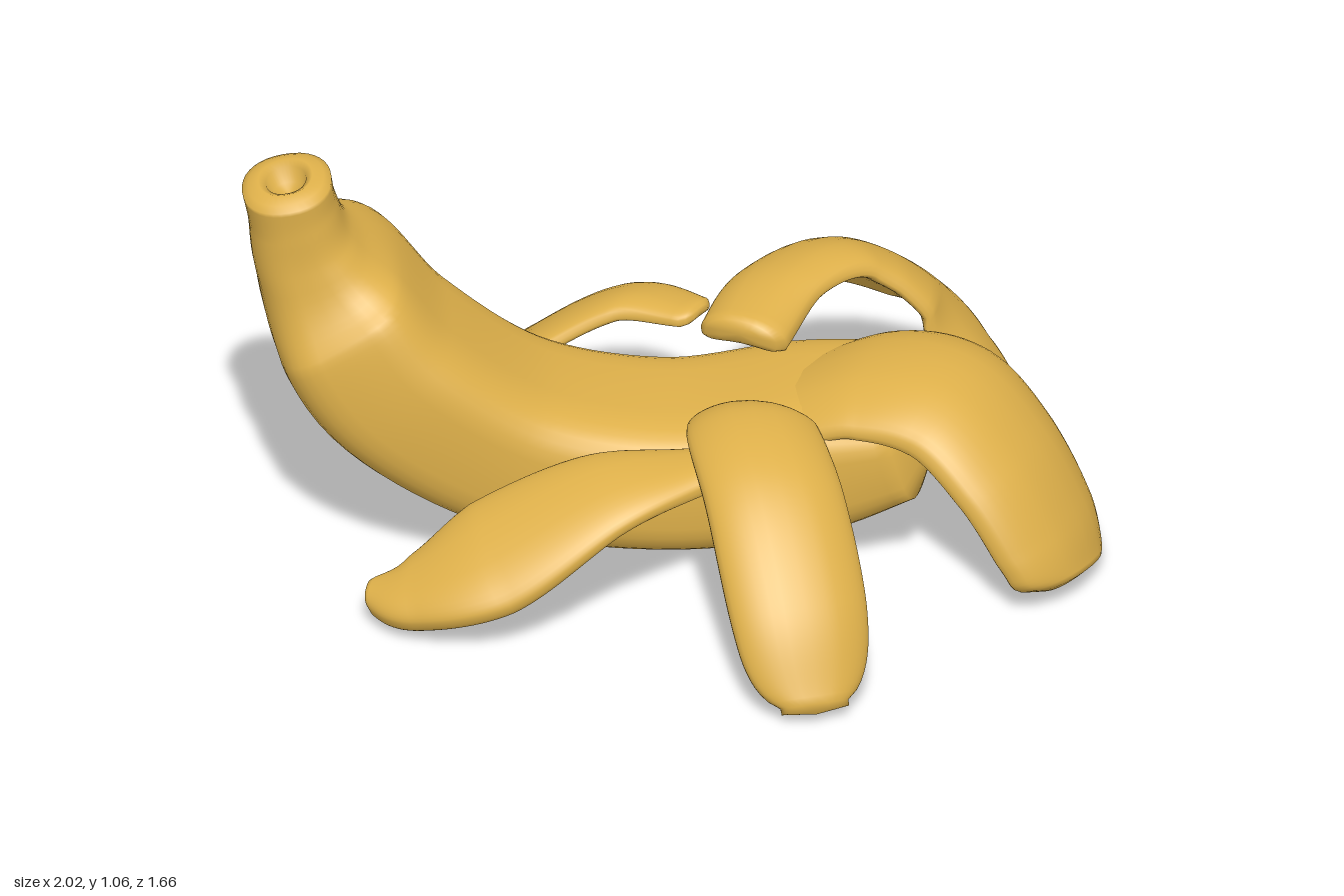
import * as THREE from 'three';

const peelYellow = new THREE.MeshStandardMaterial({ color: 0xdeb04a });
peelYellow.name = 'peelYellow';

const SIDES = 36;
const UP = new THREE.Vector3(0, 1, 0);

// Rounded-box outline: a superellipse point at angle a
const squircle = (a, n) => {
  const c = Math.cos(a), s = Math.sin(a);
  return [Math.sign(c) * Math.abs(c) ** (2 / n), Math.sign(s) * Math.abs(s) ** (2 / n)];
};

// Solid skin along a path. Each row is [x, y, z, halfWidth, halfThickness, squareness].
// startCap and endCap list [scale, offset along the path] rings that close the ends;
// tip is the share of the length over which the far end is rounded off.
function loft(name, rows, {
  steps = 48, bend = 0, roll = 0, side = null, tip = 0,
  startCap = [[0, -0.01], [0.5, -0.01], [0.85, 0]],
  endCap = [[0.6, 0], [0, 0.01]],
} = {}) {
  const path = new THREE.CatmullRomCurve3(rows.map(r => new THREE.Vector3(r[0], r[1], r[2])), false, 'catmullrom');
  const size = new THREE.CatmullRomCurve3(rows.map(r => new THREE.Vector3(r[3], r[4], r[5] ?? 3)), false, 'catmullrom');
  const rings = startCap.map(([s, o]) => [0, s, s, o]);
  for (let i = 0; i <= steps; i++) {
    const u = 0.015 + 0.97 * i / steps;
    const e = tip > 0 ? Math.max(0, (u - 1 + tip) / tip) : 0;
    rings.push([u, Math.cbrt(1 - e ** 3), 1, 0]);
  }
  endCap.forEach(([s, o]) => rings.push([1, s, s, o]));

  const positions = [], index = [];
  rings.forEach(([u, wide, thick, offset], i) => {
    const t = path.getTangent(u);
    const c = path.getPoint(u).addScaledVector(t, offset);
    const dim = size.getPoint(u);
    const across = side ? side.clone() : new THREE.Vector3(-t.z, 0, t.x).normalize();
    across.addScaledVector(UP, roll * Math.min(1, u * 2));
    across.addScaledVector(t, -across.dot(t)).normalize();
    const normal = new THREE.Vector3().crossVectors(t, across);
    for (let j = 0; j < SIDES; j++) {
      const [a, b] = squircle(j / SIDES * Math.PI * 2, dim.z);
      const x = a * wide;
      const p = c.clone()
        .addScaledVector(across, x * dim.x)
        .addScaledVector(normal, b * dim.y * thick + bend * dim.x * (x * x - 0.4));
      positions.push(p.x, p.y, p.z);
      if (i < rings.length - 1) {
        const k = (j + 1) % SIDES, r = i * SIDES, q = r + SIDES;
        index.push(r + j, r + k, q + j, r + k, q + k, q + j);
      }
    }
  });
  const g = new THREE.BufferGeometry();
  g.setAttribute('position', new THREE.Float32BufferAttribute(positions, 3));
  g.setIndex(index);
  g.computeVertexNormals();
  const mesh = new THREE.Mesh(g, peelYellow);
  mesh.name = name;
  return mesh;
}

export function createModel() {
  const model = new THREE.Group();
  model.name = 'bananaPeel';

  // Body with stem; the start cap forms the dimple in the stem
  model.add(loft('bodyAndStem', [
    [-0.89, 1.05, 0.45, 0.11, 0.11, 2.2],
    [-0.88, 0.96, 0.43, 0.12, 0.11, 2.3],
    [-0.86, 0.84, 0.4, 0.15, 0.13, 2.7],
    [-0.8, 0.69, 0.34, 0.25, 0.18, 3.5],
    [-0.66, 0.49, 0.3, 0.26, 0.2, 3.5],
    [-0.39, 0.29, 0.18, 0.25, 0.19, 3.5],
    [-0.06, 0.22, 0.04, 0.25, 0.18, 3.5],
    [0.27, 0.27, -0.08, 0.25, 0.18, 3.5],
    [0.55, 0.35, -0.13, 0.22, 0.12, 3.5],
  ], {
    steps: 64, side: new THREE.Vector3(0.39, 0, 0.92),
    startCap: [[0, 0.05], [0.35, 0.04], [0.45, 0], [0.6, -0.01], [0.85, 0]],
  }));

  // Peel flap that carries on from the open end of the body
  model.add(loft('endFlap', [
    [0.2, 0.36, -0.07, 0.21, 0.04],
    [0.42, 0.45, -0.12, 0.24, 0.04],
    [0.62, 0.44, -0.12, 0.24, 0.05],
    [0.78, 0.32, -0.09, 0.24, 0.05],
    [0.89, 0.16, -0.07, 0.23, 0.05],
    [0.94, 0.04, -0.05, 0.2, 0.05],
  ], { bend: 0.25, tip: 0.1, side: new THREE.Vector3(0, 0, 1) }));

  // Front flaps
  model.add(loft('frontLeftFlap', [
    [0.2, 0.43, 0.14, 0.14, 0.03],
    [0.25, 0.5, 0.28, 0.16, 0.03],
    [0.38, 0.44, 0.47, 0.17, 0.04],
    [0.51, 0.25, 0.65, 0.17, 0.04],
    [0.59, 0.04, 0.76, 0.14, 0.03],
  ], { bend: 0.25, tip: 0.2 }));
  model.add(loft('frontRightFlap', [
    [0.14, 0.38, 0.32, 0.08, 0.03],
    [-0.07, 0.35, 0.47, 0.14, 0.03],
    [-0.3, 0.21, 0.62, 0.17, 0.04],
    [-0.47, 0.11, 0.68, 0.11, 0.04],
    [-0.59, 0.07, 0.68, 0.04, 0.03],
  ], { bend: 0.15, roll: 0.45, tip: 0.05 }));

  // Back flaps
  model.add(loft('backLeftFlap', [
    [0.06, 0.47, -0.15, 0.11, 0.04],
    [0.07, 0.5, -0.38, 0.13, 0.03],
    [0.15, 0.46, -0.58, 0.16, 0.04],
    [0.31, 0.34, -0.69, 0.17, 0.04],
    [0.45, 0.19, -0.7, 0.14, 0.04],
    [0.57, 0.06, -0.68, 0.05, 0.03],
  ], { bend: 0.25, roll: 0.6, tip: 0.05 }));
  model.add(loft('backRightFlap', [
    [-0.1, 0.43, -0.28, 0.06, 0.02],
    [-0.3, 0.39, -0.33, 0.12, 0.03],
    [-0.5, 0.27, -0.28, 0.15, 0.03],
    [-0.66, 0.14, -0.16, 0.14, 0.03],
    [-0.77, 0.04, 0, 0.05, 0.03],
  ], { bend: 0.15, roll: -0.55, tip: 0.05 }));

  return model;
}
